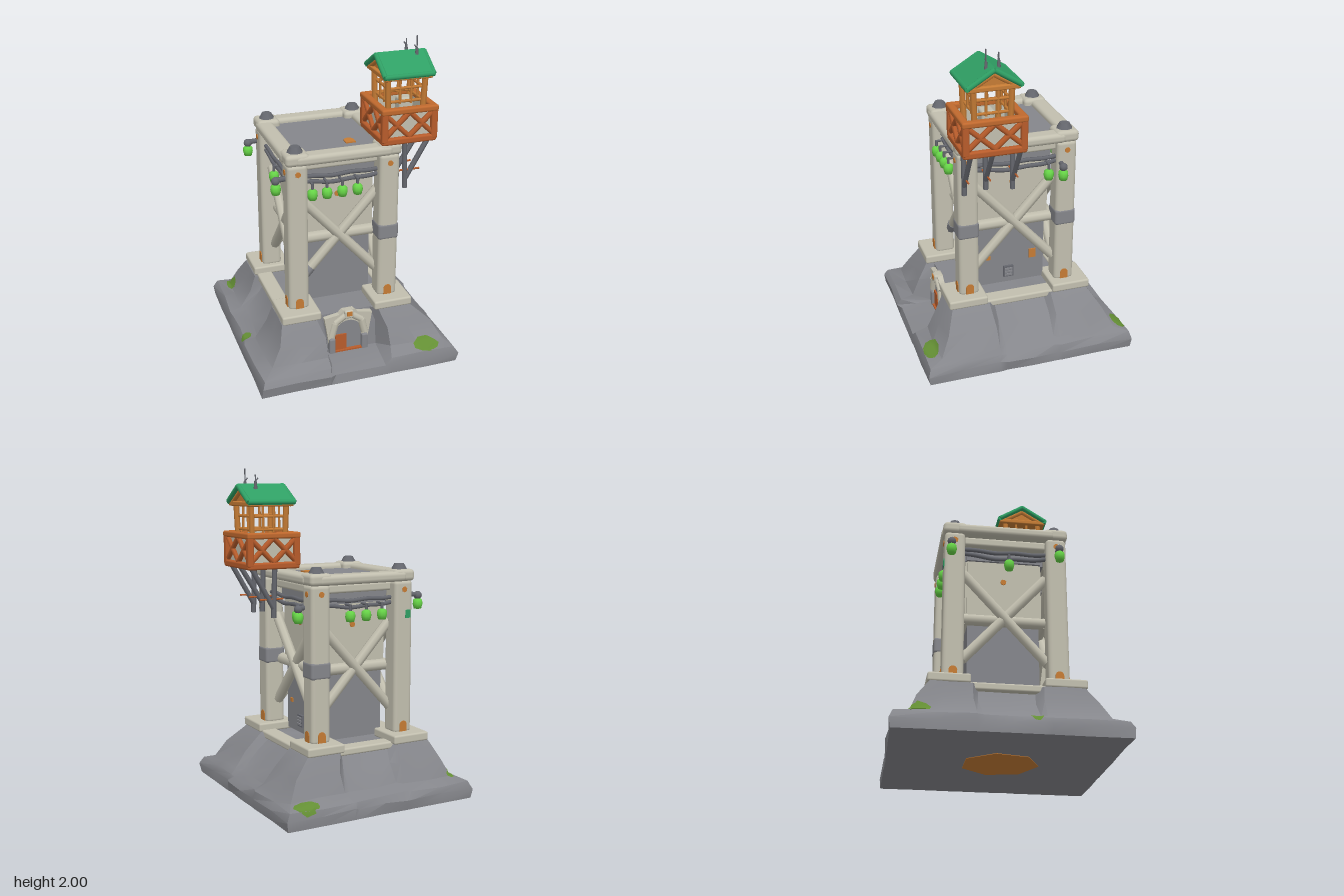
import * as THREE from 'three';
import { toCreasedNormals } from 'three/addons/utils/BufferGeometryUtils.js';
import { RoundedBoxGeometry } from 'three/addons/geometries/RoundedBoxGeometry.js';

const V = (x, y, z) => new THREE.Vector3(x, y, z);
const paint = (name, color, side = THREE.FrontSide) => {
  const m = new THREE.MeshStandardMaterial({ color, side });
  m.name = name;
  return m;
};

export function createModel() {
  const rock = paint('rock grey', 0x85868b), stone = paint('pale stone', 0xc2bfaf);
  const iron = paint('dark iron', 0x66686f), rust = paint('rust', 0xb85c2b);
  const wood = paint('orange wood', 0xc67c35), amber = paint('burnt orange', 0xc0692e);
  const roofGreen = paint('roof green', 0x2f9f64);
  const lampGreen = paint('lamp green', 0x68d648), moss = paint('moss', 0x648f34, THREE.DoubleSide);

  const model = new THREE.Group();
  model.name = 'watchtower';
  const CX = -0.025; // tower axis

  // ---- helpers ----
  const add = (parent, name, geo, mat, x = 0, y = 0, z = 0) => {
    const m = new THREE.Mesh(geo, mat);
    m.name = name;
    m.position.set(x, y, z);
    parent.add(m);
    return m;
  };
  const box = (p, name, mat, w, h, d, x, y, z) => add(p, name, new THREE.BoxGeometry(w, h, d), mat, x, y, z);
  const block = (p, name, mat, w, h, d, x, y, z, r = 0.015) =>
    add(p, name, new RoundedBoxGeometry(w, h, d, 2, r), mat, x, y, z);
  const beam = (p, name, mat, a, b, r, sides = 8) => {
    const m = add(p, name, new THREE.CylinderGeometry(r, r, a.distanceTo(b), sides), mat);
    m.position.copy(a).add(b).multiplyScalar(0.5);
    m.quaternion.setFromUnitVectors(V(0, 1, 0), b.clone().sub(a).normalize());
    return m;
  };
  const group = (parent, name, x = 0, y = 0, z = 0, ry = 0) => {
    const g = new THREE.Group();
    g.name = name;
    g.position.set(x, y, z);
    g.rotation.y = ry;
    parent.add(g);
    return g;
  };
  // thin plate with a rounded end, facing +z
  const archPlate = (p, name, mat, w, h, x, y, z) => {
    const s = new THREE.Shape();
    s.moveTo(-w / 2, 0);
    s.lineTo(w / 2, 0);
    s.lineTo(w / 2, h - w / 2);
    s.absarc(0, h - w / 2, w / 2, 0, Math.PI, false);
    return add(p, name, new THREE.ExtrudeGeometry(s, { depth: 0.008, bevelEnabled: false, curveSegments: 4 }), mat, x, y, z);
  };
  const disc = (p, name, mat, r, x, y, z) =>
    add(p, name, new THREE.CylinderGeometry(r, r, 0.008, 7).rotateX(Math.PI / 2), mat, x, y, z);
  let seed = 7;
  const jitter = a => {
    seed = (seed * 16807) % 2147483647;
    return (seed / 2147483647 - 0.5) * 2 * a;
  };

  // ---- rocky base: square rings with a notch in the middle of each side ----
  // half x, half z, centre x, y, notch depth, front z of the door niche, niche y
  const levels = [
    [0.625, 0.65, -0.005, 0.003, 0, 0.65, 0.003],
    [0.63, 0.655, -0.005, 0.065, 0, 0.64, 0.06],
    [0.61, 0.635, -0.005, 0.105, 0.01, 0.55, 0.08],
    [0.555, 0.56, 0.008, 0.135, 0.02, 0.42, 0.085],
    [0.488, 0.505, 0.005, 0.245, 0.05, 0.41, 0.25],
    [0.415, 0.44, -0.028, 0.345, 0.07, 0.40, 0.345],
  ];
  const pos = [], idx = [], N = 32;
  levels.forEach(([hx, hz, cx, y, notch, nz, ny], l) => {
    const wob = l === 0 || l === 5 ? 0.004 : 0.01;
    for (let k = 0; k < 4; k++) {
      const along = k % 2 ? hz : hx, out = k % 2 ? hx : hz, mid = (along + 0.2) / 2;
      for (const s of [-along, -mid, -0.2, -0.16, 0, 0.16, 0.2, mid]) {
        const inner = Math.abs(s) < 0.17, niche = inner && k === 0;
        const p = V(s, 0, niche ? nz : out - (inner ? notch : 0)).applyAxisAngle(V(0, 1, 0), k * Math.PI / 2);
        const w = niche ? 0.003 : wob;
        pos.push(p.x + cx + jitter(w), (niche ? ny : y) + (l ? jitter(w * 0.6) : 0), p.z + jitter(w));
      }
    }
  });
  for (let l = 0; l < 5; l++) for (let i = 0; i < N; i++) {
    const a = l * N + i, b = l * N + (i + 1) % N;
    idx.push(a, b, b + N, a, b + N, a + N);
  }
  pos.push(0, 0.003, 0, -0.025, 0.345, 0);
  for (let i = 0; i < N; i++) {
    const j = (i + 1) % N;
    idx.push(6 * N, j, i, 6 * N + 1, 5 * N + i, 5 * N + j);
  }
  const baseGeo = new THREE.BufferGeometry();
  baseGeo.setAttribute('position', new THREE.Float32BufferAttribute(pos, 3));
  baseGeo.setIndex(idx);
  const base = add(model, 'rockBase', toCreasedNormals(baseGeo, 0.6), rock);
  base.updateMatrixWorld();
  add(model, 'undersidePatch', new THREE.CylinderGeometry(0.23, 0.23, 0.004, 7), wood, -0.03, 0.002, 0.01);

  // moss patches draped over the rock
  const ray = new THREE.Raycaster();
  for (const [x, z, rx, rz] of [[0.49, -0.615, 0.085, 0.04], [-0.54, -0.51, 0.028, 0.075], [-0.595, 0.13, 0.033, 0.038], [0.44, 0.595, 0.085, 0.045]]) {
    const g = new THREE.RingGeometry(0.001, 1, 9, 5), p = g.attributes.position;
    for (let i = 0; i < p.count; i++) {
      const px = x + p.getX(i) * rx, pz = z - p.getY(i) * rz;
      ray.set(V(px, 1, pz), V(0, -1, 0));
      const hit = ray.intersectObject(base)[0];
      p.setXYZ(i, px, (hit ? hit.point.y : 0.08) + 0.006, pz);
    }
    g.computeVertexNormals();
    add(model, 'mossPatch', g, moss);
  }

  // ---- arched doorway ----
  const door = group(model, 'doorway', -0.018, 0, 0.4);
  const arch = new THREE.Shape();
  [[-0.115, 0.08], [-0.155, 0.33], [-0.06, 0.345], [-0.035, 0.37], [0.035, 0.37], [0.06, 0.345], [0.155, 0.33], [0.115, 0.08]]
    .forEach(([x, y], i) => (i ? arch.lineTo(x, y) : arch.moveTo(x, y)));
  arch.lineTo(0.088, 0.08);
  arch.lineTo(0.088, 0.21);
  arch.absarc(0, 0.21, 0.088, 0, Math.PI, false);
  arch.lineTo(-0.088, 0.08);
  add(door, 'archSurround', new THREE.ExtrudeGeometry(arch, { depth: 0.035, bevelEnabled: false, curveSegments: 8 }), stone);
  for (const s of [-1, 1]) {
    block(door, 'archFoot', rock, 0.04, 0.11, 0.05, s * 0.106, 0.13, 0.025, 0.01);
    beam(door, 'archStone', stone, V(s * 0.108, 0.2, 0.03), V(s * 0.085, 0.29, 0.03), 0.024);
    beam(door, 'archStone', stone, V(s * 0.085, 0.29, 0.03), V(s * 0.02, 0.335, 0.03), 0.022);
  }
  box(door, 'doorRecess', rock, 0.18, 0.23, 0.02, 0, 0.19, 0.012);
  block(door, 'keystone', stone, 0.06, 0.055, 0.06, 0, 0.345, 0.025, 0.012);
  box(door, 'keystoneRust', wood, 0.032, 0.028, 0.006, 0, 0.352, 0.056);
  box(door, 'doorPanel', rust, 0.075, 0.11, 0.02, -0.047, 0.145, 0.022);
  box(door, 'doorSill', rust, 0.176, 0.012, 0.03, 0, 0.088, 0.03);

  // ---- tower core ----
  box(model, 'innerWall', rock, 0.43, 0.98, 0.43, CX, 0.85, 0);
  box(model, 'roofFloor', rock, 0.56, 0.05, 0.56, CX, 1.335, 0);
  archPlate(model, 'floorHatch', wood, 0.062, 0.072, 0.08, 1.36, 0.18).rotation.x = -Math.PI / 2;

  // ---- four corners ----
  for (const sx of [-1, 1]) for (const sz of [-1, 1]) {
    const c = group(model, 'corner', CX + sx * 0.285, 0, sz * 0.308);
    block(c, 'pad', stone, 0.245, 0.055, 0.245, sx * 0.01, 0.372, sz * 0.025, 0.012);
    block(c, 'column', stone, 0.125, 0.95, 0.125, 0, 0.86, 0, 0.025);
    block(c, 'columnCap', stone, 0.145, 0.072, 0.145, 0, 1.365, 0, 0.025);
    add(c, 'capBolt', new THREE.CylinderGeometry(0.03, 0.05, 0.035, 8), iron, 0, 1.416, 0);
    if (sx > 0) block(c, 'columnBand', rock, 0.131, 0.11, 0.131, 0, 0.83, 0, 0.02);
  }

  // ---- hanging lamps ----
  const lamp = (p, x, y, z) => {
    const profile = [[0, -0.036], [0.024, -0.032], [0.031, -0.005], [0.029, 0.02], [0.014, 0.032], [0, 0.034]];
    add(p, 'lamp', new THREE.LatheGeometry(profile.map(([a, b]) => new THREE.Vector2(a, b)), 10), lampGreen, x, y, z);
    beam(p, 'lampStem', iron, V(x, y + 0.025, z), V(x, y + 0.07, z), 0.009, 6);
  };
  // brackets reaching sideways out of three columns
  for (const [x, z, from, y] of [[-0.43, 0.315, -0.36, 1.185], [-0.43, -0.335, -0.36, 1.185], [0.36, -0.27, 0.31, 1.14]]) {
    beam(model, 'lampBracket', iron, V(from, y + 0.06, z), V(x, y + 0.055, z), 0.016, 6);
    add(model, 'bracketKnob', new THREE.IcosahedronGeometry(0.026, 1), iron, x, y + 0.05, z);
    lamp(model, x, y, z);
  }

  // ---- four faces: front, right, back, left ----
  const lampSpots = [[-0.195, -0.105, -0.01, 0.085], [0.19], [-0.085, 0.025, 0.135], [0.02]];
  for (let k = 0; k < 4; k++) {
    const f = group(model, ['front', 'right', 'back', 'left'][k] + 'Face', CX, 0, 0, k * Math.PI / 2);
    const o = k % 2 ? 0 : 0.023; // column spacing differs slightly between axes
    const e = 0.3475 + o, cx = k % 2 ? 0.308 : 0.285;
    box(f, 'upperPanel', stone, 0.44, 0.4, 0.02, 0, 1.0, 0.222);
    beam(f, 'middleBeam', stone, V(-0.25, 0.805, 0.24), V(0.25, 0.805, 0.24), 0.035);
    for (const s of [-1, 1]) {
      beam(f, 'crossBrace', stone, V(-0.25 * s, 1.09, 0.268 + s * 0.004), V(0.25 * s, 0.54, 0.268 + s * 0.004), 0.031);
      archPlate(f, 'columnFootRust', wood, 0.05, 0.068, s * cx, 0.398, e - 0.004);
      disc(f, 'columnRustSpot', wood, 0.018, s * cx, 1.28, e);
    }
    disc(f, 'panelRustSpot', wood, 0.018, 0, 1.07, 0.235);
    block(f, 'topBeam', stone, 0.6, 0.062, 0.105, 0, 1.36, 0.31 + o, 0.025);
    block(f, 'lowerTopBeam', stone, 0.56, 0.055, 0.09, 0, 1.3, 0.262, 0.015);
    box(f, 'shadowBand', rock, 0.45, 0.08, 0.03, 0, 1.24, 0.232);
    if (k > 0) block(f, 'baseLedge', stone, 0.44, 0.045, 0.1, 0, 0.335, k === 2 ? 0.365 : 0.35, 0.012);
    // sagging cables with lamps hooked in front
    for (const [y, sag] of [[1.212, 0.028], [1.235, 0.01]]) {
      const pts = [-0.3, -0.18, -0.06, 0.06, 0.18, 0.3].map((x, i) => V(x, y - sag * (1 - x * x / 0.09) + (i % 2) * 0.008, 0.31));
      add(f, 'cable', new THREE.TubeGeometry(new THREE.CatmullRomCurve3(pts), 20, 0.013, 6), iron);
    }
    for (const x of lampSpots[k]) {
      const z = k === 1 ? e + 0.005 : e - 0.014;
      lamp(f, x, 1.14, z);
      beam(f, 'lampHook', iron, V(x, 1.205, 0.3), V(x, 1.205, z), 0.008, 6);
    }
  }
  // worn patches
  beam(model, 'braceSleeve', rock, V(-0.265, 0.551, 0.264), V(-0.205, 0.617, 0.264), 0.034);
  box(model, 'panelWear', rock, 0.045, 0.08, 0.008, -0.215, 1.07, 0.234);
  box(model, 'columnMoss', roofGreen, 0.035, 0.05, 0.008, -0.335, 1.13, -0.37);
  box(model, 'wallRust', wood, 0.008, 0.06, 0.045, 0.194, 0.54, -0.14);
  box(model, 'wallRust', wood, 0.008, 0.025, 0.03, 0.194, 0.55, 0.15);

  // wall grille on the right side
  box(model, 'grilleFrame', iron, 0.02, 0.075, 0.065, 0.195, 0.44, 0.02);
  for (const y of [0.42, 0.44, 0.46]) box(model, 'grilleBar', rock, 0.012, 0.012, 0.05, 0.207, y, 0.02);

  // ---- lookout hut ----
  const hut = group(model, 'lookoutHut', 0.368, 0, 0.208);
  box(hut, 'hutFloor', rock, 0.32, 0.03, 0.34, 0, 1.42, 0);
  for (let k = 0; k < 4; k++) {
    const half = k % 2 ? 0.17 : 0.155, out = k % 2 ? 0.155 : 0.17;
    const s = group(hut, 'parapetSide', 0, 0, 0, k * Math.PI / 2);
    box(s, 'parapetPanel', stone, half * 2 - 0.02, 0.16, 0.012, 0, 1.51, out - 0.014);
    block(s, 'bottomRail', rust, half * 2 + 0.03, 0.042, 0.038, 0, 1.42, out, 0.012);
    block(s, 'topRail', amber, half * 2 + 0.045, 0.038, 0.045, 0, 1.602, out, 0.012);
    block(s, 'cornerPost', rust, 0.04, 0.19, 0.04, half, 1.51, out, 0.01);
    for (const c of [-half / 2, half / 2]) for (const d of [-1, 1])
      beam(s, 'parapetCross', rust, V(c - d * half / 2, 1.44, out), V(c + d * half / 2, 1.59, out), 0.017, 6);
    // cabin frame with window bars
    const w = k % 2 ? 0.1 : 0.105, q = k % 2 ? 0.105 : 0.1;
    beam(s, 'cabinPost', wood, V(w, 1.43, q), V(w + 0.012, 1.8, q + 0.012), 0.018, 6);
    for (const x of [-0.035, 0.035]) beam(s, 'windowBar', wood, V(x, 1.62, q), V(x, 1.79, q), 0.008, 6);
    for (const y of [1.635, 1.715]) beam(s, 'windowRail', wood, V(-w, y, q), V(w, y, q), 0.009, 6);
    block(s, 'eaveBeam', wood, k % 2 ? 0.31 : 0.29, 0.03, 0.028, 0, 1.79, k % 2 ? 0.135 : 0.14, 0.008);
  }
  block(hut, 'supplySack', stone, 0.09, 0.2, 0.08, 0.03, 1.535, 0.01);

  // gabled roof, ridge along x
  const prism = (name, mat, pts, len) => {
    const g = new THREE.ExtrudeGeometry(new THREE.Shape(pts.map(p => new THREE.Vector2(...p))), { depth: len, bevelEnabled: false });
    g.translate(0, 0, -len / 2).rotateY(Math.PI / 2);
    return add(hut, name, g, mat);
  };
  const chevron = (w, top, low, t) => [[-w, low], [-w, low - t], [0, top - t], [w, low - t], [w, low], [0, top]].reverse();
  prism('roof', roofGreen, chevron(0.155, 1.912, 1.815, 0.03), 0.31);
  prism('gable', wood, [[-0.13, 1.795], [0.13, 1.795], [0, 1.88]], 0.25);
  for (const s of [-1, 1]) {
    for (const z of [-1, 1]) {
      beam(hut, 'roofRim', roofGreen, V(s * 0.15, 1.897, 0), V(s * 0.15, 1.803, z * 0.153), 0.016);
      beam(hut, 'gableRafter', wood, V(s * 0.135, 1.868, 0), V(s * 0.135, 1.785, z * 0.14), 0.014, 6);
    }
    beam(hut, 'eaveRim', roofGreen, V(-0.155, 1.802, s * 0.153), V(0.155, 1.802, s * 0.153), 0.016);
  }

  // antennas
  for (const [x, z, top] of [[0.06, -0.053, 1.965], [0.092, 0.03, 2.0]]) {
    beam(hut, 'antenna', iron, V(x, 1.87, z), V(x, top, z), 0.004, 6);
    add(hut, 'antennaFoot', new THREE.CylinderGeometry(0.007, 0.012, 0.05, 6), iron, x, 1.905, z);
    beam(hut, 'antennaProng', iron, V(x, 1.925, z), V(x - 0.016, 1.945, z), 0.004, 6);
  }

  // struts under the hut
  for (const [z, low] of [[0.345, 1.1], [0.215, 1.12], [0.05, 1.1]]) {
    beam(model, 'strutPost', iron, V(0.365, low, z), V(0.355, 1.41, z), 0.016, 6);
    beam(model, 'diagonalStrut', iron, V(0.365, low + 0.06, z), V(0.51, 1.41, z), 0.016, 6);
    beam(model, 'strutTie', rust, V(0.3, 1.215, z), V(0.455, 1.215, z), 0.006, 6);
  }
  return model;
}
